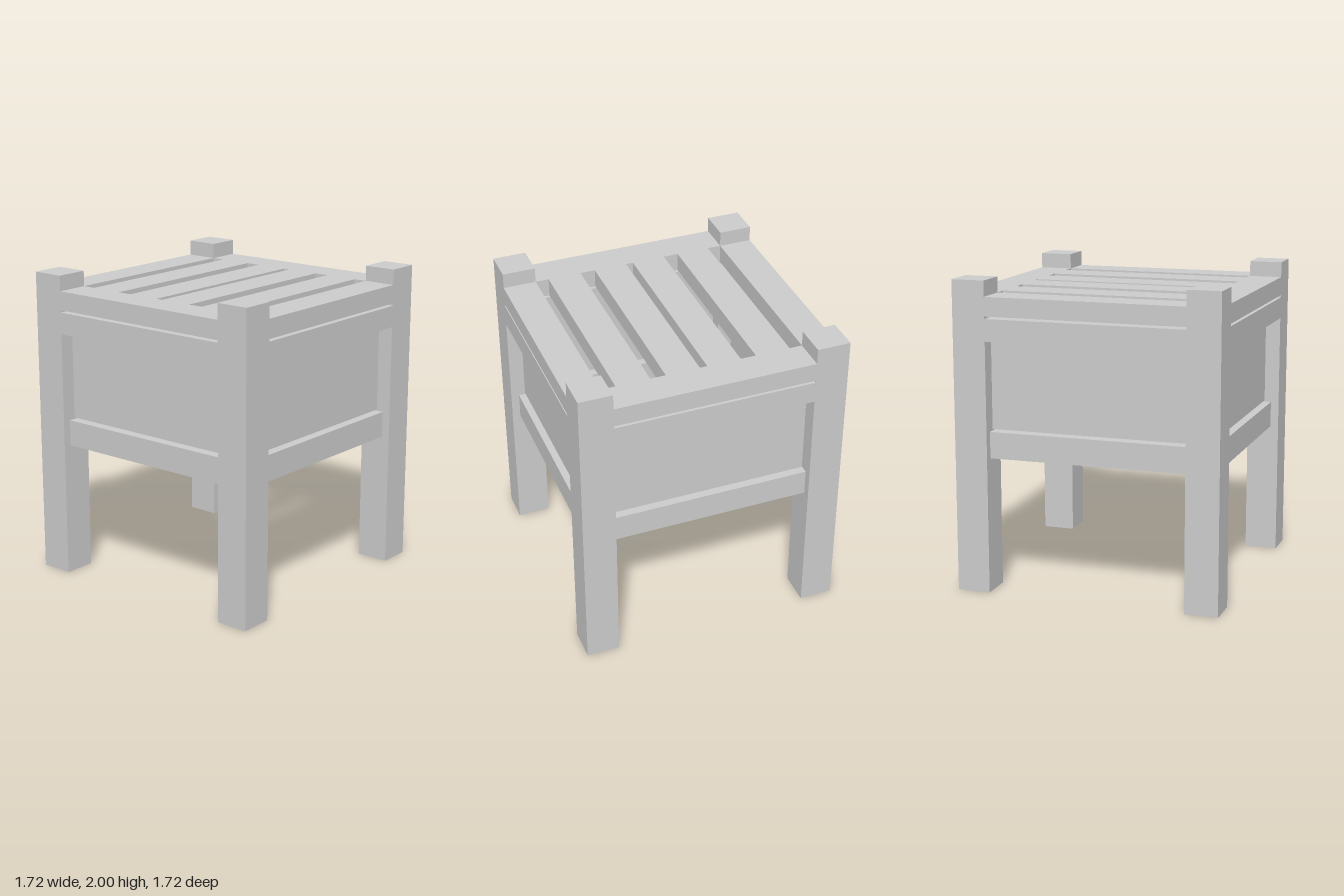
import * as THREE from 'three';

export function createModel() {
  const model = new THREE.Group();
  model.name = 'slattedSideTable';
  const material = new THREE.MeshStandardMaterial({ color: 0xcccccc });

  const OUT = 0.862;         // outer face of the legs
  const IN = 0.647;          // inner face of the legs
  const MID = (OUT + IN) / 2;
  const LEG = OUT - IN;

  // Box between heights y0 and y1, centred on x and z
  function board(parent, name, width, y0, y1, depth, x, z) {
    const mesh = new THREE.Mesh(new THREE.BoxGeometry(width, y1 - y0, depth), material);
    mesh.name = name;
    mesh.position.set(x, (y0 + y1) / 2, z);
    parent.add(mesh);
  }

  // Corner legs
  for (const [name, x, z] of [
    ['frontLeftLeg', 1, 1], ['frontRightLeg', -1, 1],
    ['backLeftLeg', 1, -1], ['backRightLeg', -1, -1],
  ]) board(model, name, LEG, 0, 2, LEG, x * MID, z * MID);

  // Each side: top board, apron, thin recessed panel and lower rail
  ['front', 'left', 'back', 'right'].forEach((name, i) => {
    const side = new THREE.Group();
    side.name = name + 'Side';
    side.rotation.y = i * Math.PI / 2;
    board(side, name + 'TopBoard', 2 * IN, 1.778, 1.9, LEG, 0, MID);
    board(side, name + 'Apron', 2 * IN, 1.622, 1.763, LEG, 0, MID);
    board(side, name + 'Panel', 2 * IN - 0.007, 1.05, 1.622, 0.022, -0.0035, MID);
    board(side, name + 'LowerRail', 2 * IN, 0.87, 1.04, 0.108, 0, MID);
    model.add(side);
  });

  // Inner slats of the top
  [-0.45, -0.133, 0.133, 0.45].forEach((z, i) => {
    board(model, 'topSlat' + (i + 1), 2 * IN, 1.778, 1.9, 0.218, 0, z);
  });

  return model;
}
